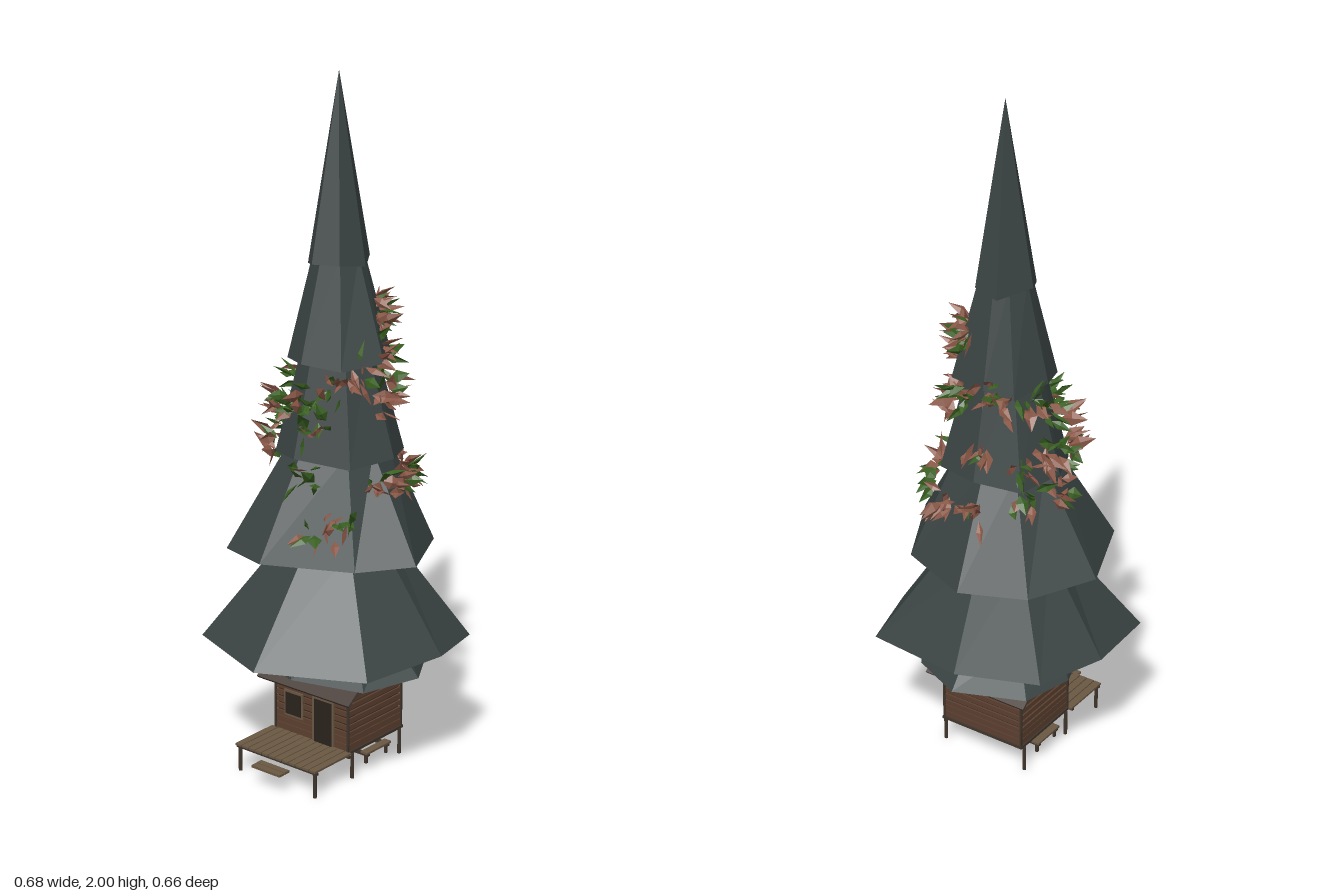
import * as THREE from 'three';
import { mergeGeometries } from 'three/addons/utils/BufferGeometryUtils.js';

const CX = 0.04, CZ = -0.01; // tree axis

const mat = (color, side = THREE.FrontSide) =>
  new THREE.MeshStandardMaterial({ color, side, flatShading: true });
const needleMat = mat(0x3b4444, THREE.DoubleSide);
const trunkMat = mat(0x3c3b3a);
const wallMat = mat(0x5c4030);
const darkMat = mat(0x2b231e);
const deckMat = mat(0x6a5843);
const legMat = mat(0x40352c);
const roofMat = mat(0x4a403a);

let seed = 7;
const rand = () => {
  seed = (seed * 16807) % 2147483647;
  return seed / 2147483647;
};
const spread = (s) => (rand() * 2 - 1) * s;

function add(parent, name, geometry, material, x = 0, y = 0, z = 0) {
  const mesh = new THREE.Mesh(geometry, material);
  mesh.name = name;
  mesh.position.set(x, y, z);
  parent.add(mesh);
  return mesh;
}

// Box given by its min and max corners
function slab(parent, name, material, x0, x1, y0, y1, z0, z1) {
  return add(parent, name, new THREE.BoxGeometry(x1 - x0, y1 - y0, z1 - z0), material,
    (x0 + x1) / 2, (y0 + y1) / 2, (z0 + z1) / 2);
}

// Open skirt from an irregular hem up to a small regular neck
function tierGeometry(hem, yBase, yTop, rTop) {
  const low = hem.map(([x, z], i) =>
    new THREE.Vector3(x, yBase + (i % 2 ? -0.006 : 0.006), z));
  const high = hem.map(([x, z]) => {
    const a = Math.atan2(z - CZ, x - CX);
    return new THREE.Vector3(CX + rTop * Math.cos(a), yTop, CZ + rTop * Math.sin(a));
  });
  const pts = [];
  low.forEach((a, i) => {
    const j = (i + 1) % low.length;
    pts.push(low[j], a, high[i]);
    if (rTop > 0) pts.push(low[j], high[i], high[j]);
  });
  const g = new THREE.BufferGeometry().setFromPoints(pts);
  g.computeVertexNormals();
  return g;
}

// Folded pointed leaf growing along +y
function leafGeometry(length, width) {
  const v = (x, y, z) => new THREE.Vector3(x, y, z);
  const base = v(0, 0, 0), tip = v(0, length, 0), mid = v(0, length * 0.45, width * 0.45);
  const l = v(-width, length * 0.4, 0), r = v(width, length * 0.4, 0);
  const g = new THREE.BufferGeometry().setFromPoints(
    [base, mid, l, l, mid, tip, base, r, mid, mid, r, tip]);
  g.computeVertexNormals();
  return g;
}

function buildTree(group) {
  // Hems listed clockwise seen from above, as [x, z]
  const tiers = [
    [2.0, 1.476, 0, [[-0.063, -0.02], [-0.02, -0.07], [0.04, -0.1], [0.14, -0.05], [0.125, 0.03], [0.05, 0.077], [-0.03, 0.05]]],
    [1.5, 1.205, 0.07, [[-0.11, -0.02], [-0.05, -0.12], [0.04, -0.15], [0.16, -0.12], [0.175, -0.03], [0.14, 0.1], [0.04, 0.15], [-0.07, 0.09]]],
    [1.24, 0.935, 0.1, [[-0.13, -0.03], [-0.08, -0.14], [0.04, -0.19], [0.17, -0.15], [0.21, -0.02], [0.17, 0.12], [0.05, 0.18], [-0.08, 0.13]]],
    [0.96, 0.66, 0.14, [[-0.26, -0.045], [-0.2, -0.22], [0.065, -0.33], [0.245, -0.225], [0.34, -0.055], [0.235, 0.18], [0, 0.3], [-0.12, 0.18]]],
    [0.68, 0.375, 0.145, [[-0.34, 0], [-0.21, -0.31], [0.03, -0.33], [0.22, -0.25], [0.325, -0.03], [0.283, 0.277], [0.083, 0.328], [-0.175, 0.27]]],
    [0.42, 0.287, 0.16, [[-0.16, -0.02], [-0.09, -0.18], [0.06, -0.24], [0.2, -0.19], [0.295, 0], [0.21, 0.17], [0.08, 0.25], [-0.08, 0.18]]],
  ];
  tiers.forEach(([yTop, yBase, rTop, hem], i) =>
    add(group, `needleTier${i + 1}`, tierGeometry(hem, yBase, yTop, rTop), needleMat));
  add(group, 'trunk', new THREE.CylinderGeometry(0.016, 0.022, 1.4, 8), trunkMat, CX, 0.7, CZ);
}

function buildLeaves(group) {
  // Cluster places: azimuth in degrees from the front towards +x, and height
  const clusters = [
    [40, 1.35], [15, 1.33], [58, 1.32], [5, 1.24], [95, 1.2], [70, 1.17], [120, 1.18],
    [150, 1.16], [180, 1.13], [-30, 1.19], [-60, 1.15], [-85, 1.12], [35, 1.12], [0, 1.1],
    [-110, 1.08], [210, 1.07], [165, 1.03], [190, 1.0], [140, 1.0], [95, 1.03], [-75, 1.04],
    [225, 0.96], [175, 0.91], [-75, 0.9], [-20, 0.9], [5, 0.88], [30, 0.88], [70, 0.87],
    [100, 0.87], [140, 0.9], [-45, 0.79], [-62, 0.76],
  ];
  const red = [], green = [];
  const up = new THREE.Vector3(0, 1, 0);
  clusters.forEach(([deg, y], k) => {
    const greenShare = k % 3 === 2 ? 0.8 : 0.25;
    for (let i = 0; i < 9; i++) {
      const a = THREE.MathUtils.degToRad(deg + spread(13));
      const h = y + spread(0.03);
      const r = 0.07 + (1.5 - h) * 0.2;
      const dir = new THREE.Vector3(Math.sin(a) + spread(0.8), spread(0.9), Math.cos(a) + spread(0.8)).normalize();
      const g = leafGeometry(0.045 + rand() * 0.04, 0.011 + rand() * 0.01);
      g.rotateY(rand() * 6.28);
      g.applyQuaternion(new THREE.Quaternion().setFromUnitVectors(up, dir));
      g.translate(CX + r * Math.sin(a), h, CZ + r * Math.cos(a));
      (rand() < greenShare ? green : red).push(g);
    }
  });
  add(group, 'russetLeaves', mergeGeometries(red), mat(0x8a5847, THREE.DoubleSide));
  add(group, 'greenLeaves', mergeGeometries(green), mat(0x3a6022, THREE.DoubleSide));
}

function buildCabin(group) {
  const x0 = -0.08, x1 = 0.16, z0 = -0.145, z1 = 0.125, y0 = 0.085, rows = 9, h = 0.021;
  slab(group, 'cabinCore', darkMat, x0 + 0.006, x1 - 0.006, y0, 0.27, z0 + 0.006, z1 - 0.006);
  // Horizontal wall boards
  for (let i = 0; i < rows; i++) {
    const a = y0 + i * h, b = a + h - (i > 1 && i < 7 ? 0.006 : 0.002);
    slab(group, 'frontBoard', wallMat, x0, x1, a, b, z1 - 0.007, z1);
    slab(group, 'backBoard', wallMat, x0, x1, a, b, z0, z0 + 0.007);
    slab(group, 'leftBoard', wallMat, x1 - 0.007, x1, a, b, z0, z1);
    slab(group, 'rightBoard', wallMat, x0, x0 + 0.007, a, b, z0, z1);
  }
  // Corner posts
  for (const x of [x0, x1]) for (const z of [z0, z1])
    slab(group, 'cornerPost', legMat, x - 0.003, x + 0.003, y0, 0.274, z - 0.003, z + 0.003);
  // Gables
  const gable = new THREE.Shape([
    new THREE.Vector2(x0, 0.27), new THREE.Vector2(x1, 0.27), new THREE.Vector2(CX, 0.355)]);
  add(group, 'gables', new THREE.ExtrudeGeometry(gable, { depth: z1 - z0, bevelEnabled: false }), wallMat, 0, 0, z0);
  // Sloping roof
  for (const s of [-1, 1]) {
    const roof = add(group, 'roofSlope', new THREE.BoxGeometry(0.2, 0.008, 0.34), roofMat,
      CX + s * 0.08, 0.306, -0.01);
    roof.rotation.z = -s * 0.64;
  }
  // Door and window on the porch side
  slab(group, 'doorFrame', deckMat, x0 - 0.004, x0, y0, 0.225, -0.005, 0.075);
  slab(group, 'door', darkMat, x0 - 0.006, x0, y0, 0.217, 0.003, 0.067);
  slab(group, 'windowFrame', deckMat, x0 - 0.004, x0, 0.135, 0.215, -0.11, -0.04);
  slab(group, 'windowPane', darkMat, x0 - 0.006, x0, 0.142, 0.208, -0.103, -0.047);
}

function buildDeck(group) {
  // Floor under the cabin and porch boards
  slab(group, 'cabinFloor', legMat, -0.08, 0.165, 0.077, 0.085, -0.15, 0.13);
  const n = 12, w = 0.3 / n;
  for (let i = 0; i < n; i++) {
    const z = -0.16 + i * w;
    slab(group, 'porchBoard', deckMat, -0.24, -0.08, 0.079, 0.085, z, z + w - 0.003);
  }
  for (const x of [-0.232, -0.09])
    slab(group, 'porchBeam', legMat, x - 0.004, x + 0.004, 0.072, 0.079, -0.16, 0.14);
  // Legs
  for (const x of [-0.23, -0.065, 0.15]) for (const z of [-0.15, 0.128])
    add(group, 'leg', new THREE.CylinderGeometry(0.006, 0.006, 0.078, 6), legMat, x, 0.039, z);
  // Braces around the trunk
  for (const x of [-0.005, 0.085]) {
    slab(group, 'joist', legMat, x - 0.005, x + 0.005, 0.048, 0.058, -0.16, 0.14);
    for (const z of [-0.15, 0.13])
      slab(group, 'joistPeg', legMat, x - 0.004, x + 0.004, 0.025, 0.05, z - 0.004, z + 0.004);
  }
  for (const z of [-0.15, 0.13])
    slab(group, 'crossBar', deckMat, -0.015, 0.095, 0.056, 0.062, z - 0.012, z + 0.012);
  // Step below the porch
  for (const x of [-0.285, -0.262])
    slab(group, 'step', deckMat, x, x + 0.02, 0.056, 0.063, -0.06, 0.045);
}

export function createModel() {
  const model = new THREE.Group();
  model.name = 'treeHouse';
  for (const [name, build] of [['tree', buildTree], ['leaves', buildLeaves], ['cabin', buildCabin], ['deck', buildDeck]]) {
    const part = new THREE.Group();
    part.name = name;
    build(part);
    model.add(part);
  }
  return model;
}
